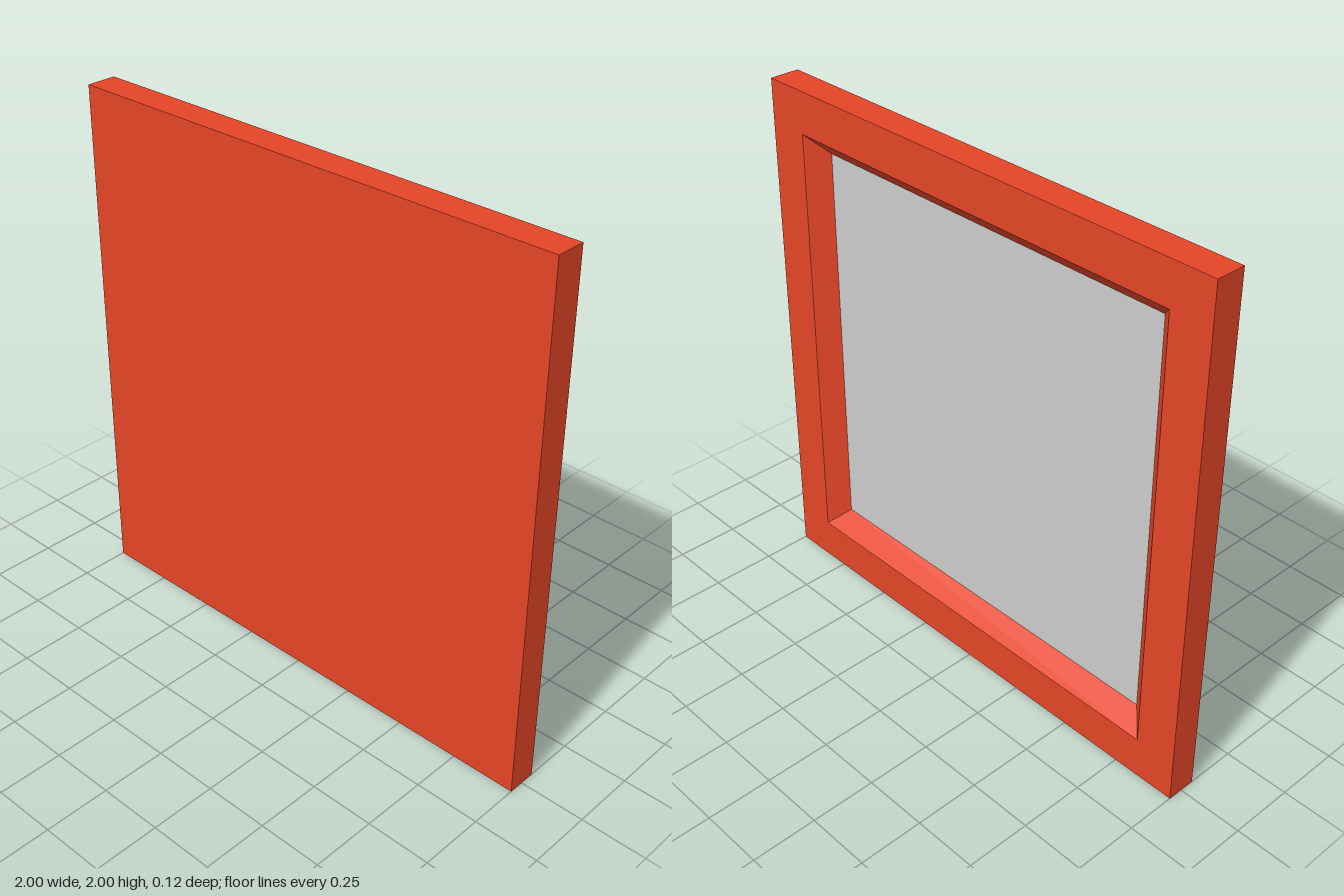
import * as THREE from 'three';

export function createModel() {
  const group = new THREE.Group();
  group.name = 'framedPanel';

  const depth = 0.0575; // half thickness
  const opening = 0.84; // half width of the opening at the back rim
  const inset = 0.77; // half width of the recessed sheet
  const sheetZ = 0.011;

  // Tray: a square cross-section swept in four sides, [half width, distance towards the back]
  const profile = [
    [0, -depth], // closed front
    [1, -depth],
    [1, depth], // outer sides
    [opening, depth], // back rim
    [inset, -sheetZ], // sloped inner edge
  ].map(([half, back]) => new THREE.Vector2(half * Math.SQRT2, back));

  const trayGeometry = new THREE.LatheGeometry(profile, 4, Math.PI / 4)
    .rotateX(-Math.PI / 2)
    .toNonIndexed();
  trayGeometry.computeVertexNormals();
  const tray = new THREE.Mesh(
    trayGeometry,
    new THREE.MeshStandardMaterial({ color: 0xe44527, flatShading: true })
  );
  tray.name = 'frame';
  tray.position.y = 1;

  // Grey sheet at the bottom of the recess, facing the back
  const sheet = new THREE.Mesh(
    new THREE.PlaneGeometry(inset * 2, inset * 2).rotateY(Math.PI),
    new THREE.MeshStandardMaterial({ color: 0xcccccc, flatShading: true })
  );
  sheet.name = 'recessedSheet';
  sheet.position.set(0, 1, sheetZ);

  group.add(tray, sheet);
  return group;
}
